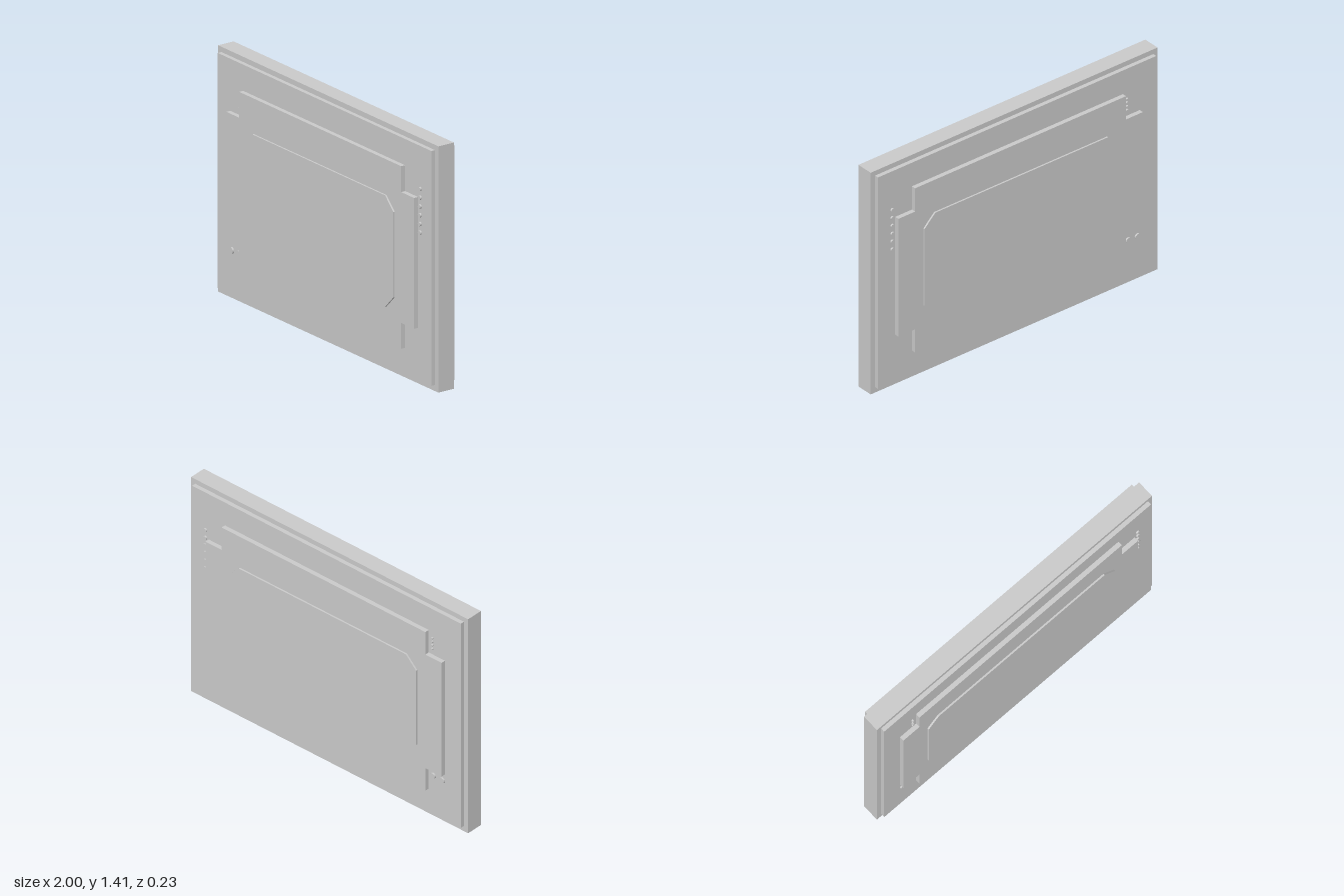
import * as THREE from 'three';

const material = new THREE.MeshStandardMaterial({ color: 0xcccccc, flatShading: true });

function add(parent, name, geometry, x = 0, y = 0, z = 0) {
  const mesh = new THREE.Mesh(geometry, material);
  mesh.name = name;
  mesh.position.set(x, y, z);
  parent.add(mesh);
  return mesh;
}

// Outline with four identical corners, extruded symmetrically about z = 0
function plate(halfW, halfH, cutX, cutY, halfDepth, notched) {
  const points = [];
  for (const [sx, sy] of [[1, 1], [-1, 1], [-1, -1], [1, -1]]) {
    const corner = [[halfW, halfH - cutY], [halfW - cutX, halfH]];
    if (notched) corner.splice(1, 0, [halfW - cutX, halfH - cutY]);
    if (sx * sy < 0) corner.reverse();
    for (const [x, y] of corner) points.push(new THREE.Vector2(sx * x, sy * y));
  }
  const geometry = new THREE.ExtrudeGeometry(new THREE.Shape(points), { depth: 2 * halfDepth, bevelEnabled: false });
  return geometry.translate(0, 0, -halfDepth);
}

export function createModel() {
  const group = new THREE.Group();
  group.name = 'steppedPanel';

  // Stacked slabs, each stepping out on both faces
  add(group, 'coreSlab', new THREE.BoxGeometry(2, 1.41, 0.104), 0, 0.705, 0);
  add(group, 'baseBoard', new THREE.BoxGeometry(1.94, 1.345, 0.154), 0, 0.7075, 0);
  add(group, 'notchedPlate', plate(0.8525, 0.5225, 0.117, 0.148, 0.104, true), -0.0025, 0.7075, 0);
  add(group, 'chamferedPlate', plate(0.677, 0.319, 0.074, 0.074, 0.114, false), -0.0025, 0.708, 0);

  // Round studs, repeated on both faces
  const stud = (name, x, y, r) => {
    for (const side of [1, -1]) {
      const mesh = add(group, name, new THREE.CylinderGeometry(r, r, 0.02, 12), x, y, side * 0.077);
      mesh.rotation.x = side * Math.PI / 2;
    }
  };
  for (let i = 0; i < 6; i++) stud('rowStud', 0.872, 0.885 + i * 0.05, 0.012);
  for (let i = 0; i < 4; i++) stud('smallStud', -0.765, 1.12 + i * 0.0235, 0.007);
  for (const x of [-0.838, -0.772]) stud('largeStud', x, 0.288, 0.018);

  return group;
}
